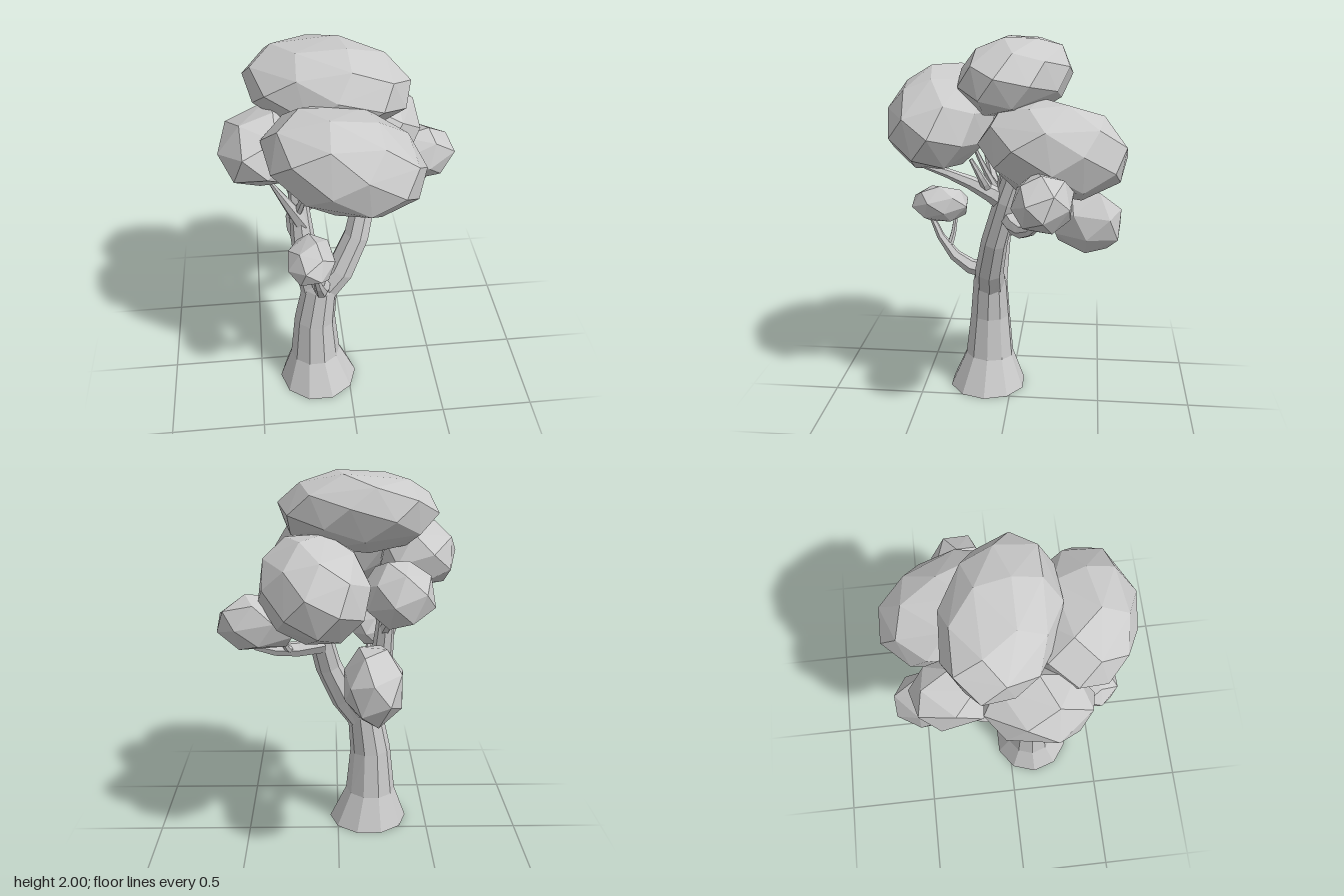
import * as THREE from 'three';
import { ConvexGeometry } from 'three/addons/geometries/ConvexGeometry.js';

const material = new THREE.MeshStandardMaterial({ color: 0xcccccc, flatShading: true });

function addMesh(parent, name, geometry) {
  const mesh = new THREE.Mesh(geometry, material);
  mesh.name = name;
  parent.add(mesh);
  return mesh;
}

// Faceted tube of changing radius, with the first ring square to startAxis
function limbGeometry(centres, radii, sides, startAxis) {
  const position = [];
  const index = [];
  const last = centres.length - 1;
  const side = Math.abs(startAxis.x) > 0.9 ? new THREE.Vector3(0, 0, 1) : new THREE.Vector3(1, 0, 0);
  const other = new THREE.Vector3();
  const axis = startAxis.clone();
  centres.forEach((c, i) => {
    if (i > 0) axis.subVectors(centres[Math.min(i + 1, last)], centres[i - 1]).normalize();
    // Carry the side vector along so that rings do not twist
    side.addScaledVector(axis, -side.dot(axis)).normalize();
    other.crossVectors(axis, side);
    for (let k = 0; k < sides; k++) {
      const a = (k / sides) * Math.PI * 2;
      const v = c.clone()
        .addScaledVector(side, Math.cos(a) * radii[i])
        .addScaledVector(other, Math.sin(a) * radii[i]);
      position.push(v.x, v.y, v.z);
      if (i < last) {
        const p = i * sides + k;
        const q = i * sides + ((k + 1) % sides);
        index.push(p, q, q + sides, p, q + sides, p + sides);
      }
    }
  });
  // End caps
  for (let k = 1; k < sides - 1; k++) {
    index.push(0, k + 1, k);
    index.push(last * sides, last * sides + k, last * sides + k + 1);
  }
  const geometry = new THREE.BufferGeometry();
  geometry.setAttribute('position', new THREE.Float32BufferAttribute(position, 3));
  geometry.setIndex(index);
  const flat = geometry.toNonIndexed();
  flat.computeVertexNormals();
  return flat;
}

// Branch that bends from start to end and tapers evenly
function addBranch(parent, name, start, bend, end, thick, thin, sides = 6) {
  const curve = new THREE.QuadraticBezierCurve3(
    ...[start, bend, end].map((p) => new THREE.Vector3(...p)),
  );
  const centres = curve.getPoints(4);
  const radii = centres.map((c, i) => THREE.MathUtils.lerp(thick, thin, i / 4));
  addMesh(parent, name, limbGeometry(centres, radii, sides, curve.getTangent(0)));
}

// Faceted leaf clump: hull of points spiralling evenly over a ball
function addClump(parent, name, corners, centre, radii, rotation) {
  const points = [];
  for (let i = 0; i < corners; i++) {
    const y = 1 - (2 * i + 1) / corners;
    const ring = Math.sqrt(1 - y * y);
    const a = i * Math.PI * (3 - Math.sqrt(5));
    points.push(new THREE.Vector3(ring * Math.cos(a), y, ring * Math.sin(a)).multiplyScalar(1.04));
  }
  const mesh = addMesh(parent, name, new ConvexGeometry(points));
  mesh.position.set(...centre);
  mesh.scale.set(...radii);
  mesh.rotation.set(...rotation);
}

export function createModel() {
  const tree = new THREE.Group();
  tree.name = 'tree';

  // Trunk with a flared foot
  const wood = new THREE.Group();
  wood.name = 'wood';
  const trunkCentres = [
    new THREE.Vector3(-0.173, 0, 0.14),
    new THREE.Vector3(-0.185, 0.19, 0.13),
    new THREE.Vector3(-0.182, 0.44, 0.125),
    new THREE.Vector3(-0.15, 0.66, 0.12),
    new THREE.Vector3(-0.145, 0.74, 0.115),
  ];
  const trunkRadii = [0.217, 0.138, 0.112, 0.095, 0.07];
  addMesh(wood, 'trunk', limbGeometry(trunkCentres, trunkRadii, 10, new THREE.Vector3(0, 1, 0)));

  // Two main limbs
  addBranch(wood, 'mainLimbLeft', [-0.16, 0.6, 0.12], [0.12, 0.87, 0.13], [0.13, 1.47, -0.09], 0.085, 0.055, 8);
  addBranch(wood, 'mainLimbRight', [-0.16, 0.6, 0.12], [-0.26, 0.89, 0.08], [-0.25, 1.47, 0], 0.09, 0.035, 8);

  // Branches and twigs that carry the clumps
  addBranch(wood, 'frontBranch', [-0.15, 0.71, 0.13], [-0.14, 0.7, 0.34], [-0.2, 1.04, 0.47], 0.054, 0.012);
  addBranch(wood, 'frontTwig', [-0.16, 0.83, 0.36], [-0.19, 0.88, 0.32], [-0.23, 1.04, 0.32], 0.02, 0.01);
  addBranch(wood, 'sideBranch', [0.08, 1.1, 0], [0.37, 1.05, -0.09], [0.49, 1.2, -0.19], 0.05, 0.016);
  addBranch(wood, 'sideTwig', [0.24, 1.09, -0.07], [0.29, 1.11, -0.13], [0.28, 1.24, -0.17], 0.02, 0.01);
  addBranch(wood, 'backBranch', [-0.23, 0.92, 0.06], [-0.34, 0.97, -0.13], [-0.19, 0.93, -0.36], 0.048, 0.025);
  addBranch(wood, 'backTwig', [-0.27, 0.95, -0.1], [-0.23, 0.98, -0.2], [-0.18, 1.08, -0.27], 0.022, 0.008);
  addBranch(wood, 'forwardBranch', [0.08, 1.17, 0.01], [0.21, 1.32, 0.14], [0.18, 1.39, 0.42], 0.054, 0.014);
  addBranch(wood, 'forwardTwig', [0.15, 1.27, 0.1], [0.22, 1.33, 0.11], [0.21, 1.43, 0.17], 0.028, 0.01);
  addBranch(wood, 'outerBranch', [-0.23, 1.05, 0.07], [-0.31, 1.22, 0.12], [-0.39, 1.41, 0.19], 0.045, 0.008);
  addBranch(wood, 'innerTwig', [-0.26, 1.12, 0.08], [-0.22, 1.25, 0.15], [-0.2, 1.4, 0.21], 0.026, 0.01);
  addBranch(wood, 'rearBranch', [-0.23, 1.13, 0.06], [-0.27, 1.25, -0.05], [-0.3, 1.38, -0.2], 0.035, 0.014);
  tree.add(wood);

  // Leaf clumps
  const foliage = new THREE.Group();
  foliage.name = 'foliage';
  addClump(foliage, 'topClump', 34, [-0.09, 1.8, -0.03], [0.4, 0.2, 0.265], [0.12, -0.33, 0]);
  addClump(foliage, 'frontClump', 34, [-0.04, 1.595, 0.345], [0.38, 0.24, 0.265], [0, -0.2, -0.26]);
  addClump(foliage, 'backLeftClump', 34, [0.12, 1.465, -0.24], [0.27, 0.24, 0.375], [-0.2, 0.22, 0]);
  addClump(foliage, 'rightClump', 20, [-0.415, 1.555, 0.1], [0.2, 0.18, 0.265], [0, -0.15, 0]);
  addClump(foliage, 'backRightClump', 20, [-0.29, 1.435, -0.27], [0.175, 0.165, 0.22], [0, 0.2, 0]);
  addClump(foliage, 'leftClump', 20, [0.4, 1.275, -0.2], [0.21, 0.145, 0.148], [0, -0.1, 0.05]);
  addClump(foliage, 'lowBackClump', 20, [-0.17, 1.02, -0.395], [0.15, 0.18, 0.22], [-0.45, 0, 0]);
  addClump(foliage, 'lowFrontClump', 20, [-0.21, 1.07, 0.4], [0.12, 0.103, 0.16], [0, 0, 0.1]);
  tree.add(foliage);

  return tree;
}
